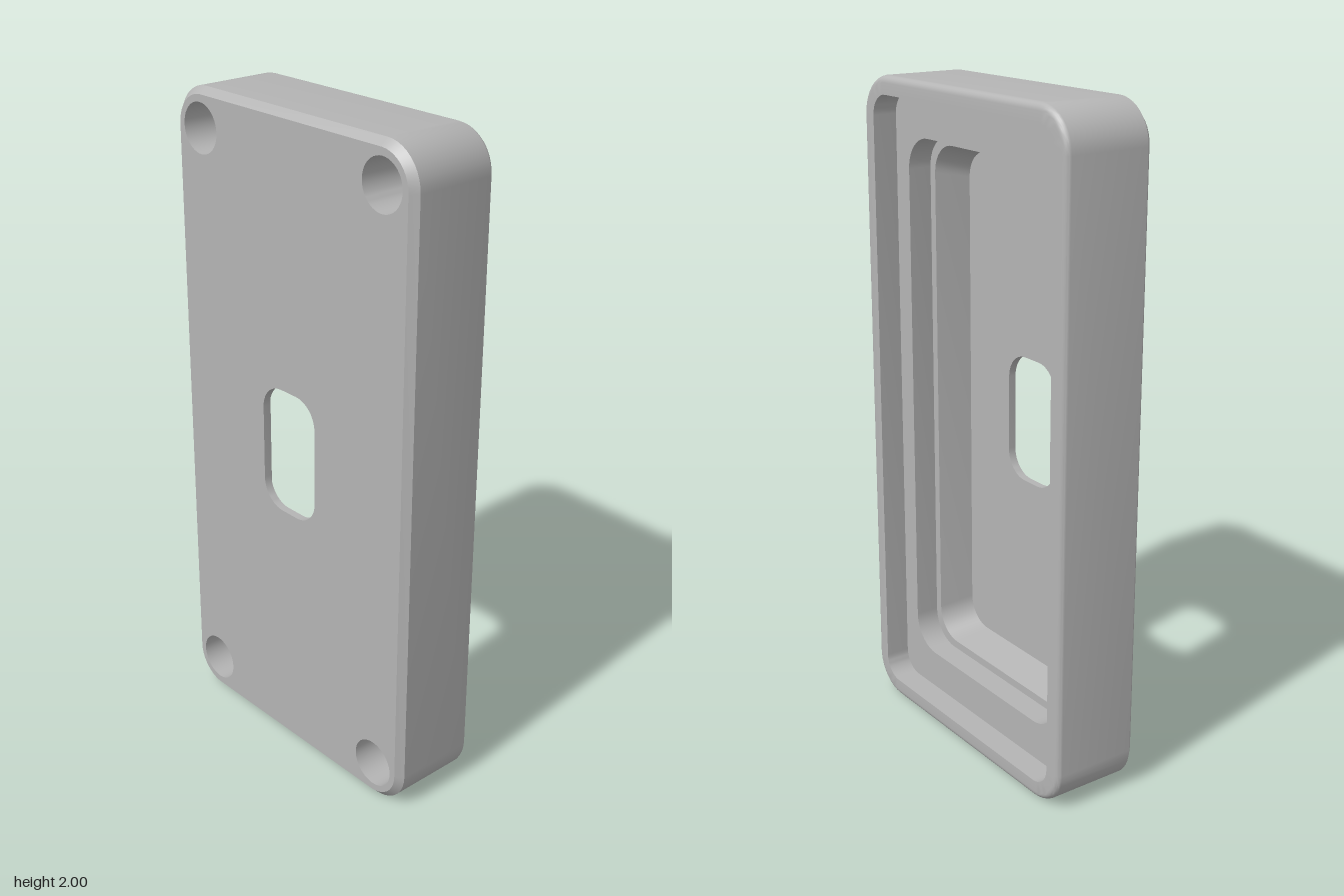
import * as THREE from 'three';
import { toCreasedNormals } from 'three/addons/utils/BufferGeometryUtils.js';

const SEG = 10; // segments per rounded corner

// Counter-clockwise points of a rounded rectangle (half width, half height, corner radius)
function roundedRect(w, h, r, cx = 0, cy = 0) {
  const pts = [];
  const corners = [[1, 1], [-1, 1], [-1, -1], [1, -1]];
  corners.forEach(([sx, sy], k) => {
    for (let i = 0; i <= SEG; i++) {
      const a = (k + i / SEG) * Math.PI / 2;
      pts.push(new THREE.Vector2(cx + sx * (w - r) + r * Math.cos(a), cy + sy * (h - r) + r * Math.sin(a)));
    }
  });
  return pts;
}

// Skin through rings of { pts, z }; faces outward when running toward -z
function loft(rings) {
  const n = rings[0].pts.length;
  const pos = [], idx = [];
  rings.forEach(({ pts, z }) => pts.forEach(p => pos.push(p.x, p.y, z)));
  for (let i = 0; i < rings.length - 1; i++) {
    for (let j = 0; j < n; j++) {
      const a = i * n + j, b = i * n + (j + 1) % n;
      idx.push(a, a + n, b, a + n, b + n, b);
    }
  }
  const g = new THREE.BufferGeometry();
  g.setAttribute('position', new THREE.Float32BufferAttribute(pos, 3));
  g.setIndex(idx);
  return toCreasedNormals(g, 0.5);
}

// Flat plate face with holes, facing +z
function face(outline, holes = []) {
  const shape = new THREE.Shape(outline);
  holes.forEach(h => shape.holes.push(new THREE.Path(h)));
  return new THREE.ShapeGeometry(shape);
}

export function createModel() {
  const group = new THREE.Group();
  const grey = new THREE.MeshStandardMaterial({ color: 0xb4b4b4 });
  grey.name = 'grey';
  const add = (name, geometry, z = 0) => {
    const mesh = new THREE.Mesh(geometry, grey);
    mesh.name = name;
    mesh.position.set(0, 1, z);
    group.add(mesh);
    return mesh;
  };

  const W = 0.487, H = 1, R = 0.12, Z = 0.142, edge = 0.021;
  const floorZ = 0.118, pocketZ = -0.045, pocketR = 0.074;
  const ring = (w, h, r, z) => ({ pts: roundedRect(w, h, r), z });
  const inset = (d, z) => ring(W - d, H - d, R - d, z);

  // Outer shell: front chamfer, side wall, rounded back edge
  const rings = [inset(edge, Z), inset(0, Z - edge)];
  for (let i = 0; i <= 6; i++) {
    const a = i / 6 * Math.PI / 2;
    rings.push(inset(edge * (1 - Math.cos(a)), -Z + edge * (1 - Math.sin(a))));
  }
  // Rim, shelf, opening, inner step and slightly tapered cavity down to the floor
  rings.push(
    inset(0.055, -Z),
    inset(0.055, -0.065),
    ring(0.365, 0.825, 0.1, -0.065),
    ring(0.365, 0.825, 0.1, 0.01),
    ring(0.34, 0.8, 0.09, 0.01),
    ring(0.317, 0.775, 0.085, floorZ)
  );
  add('shell', loft(rings));

  // Front plate with window and corner pockets
  const windowPts = roundedRect(0.113, 0.195, 0.08);
  const pockets = [];
  for (const sx of [-1, 1]) for (const sy of [-1, 1]) {
    pockets.push(roundedRect(pocketR, pocketR, pocketR, sx * 0.372, sy * 0.883));
  }
  add('frontFace', face(rings[0].pts, [windowPts, ...pockets]), Z);
  add('windowWall', loft([{ pts: windowPts, z: floorZ }, { pts: windowPts, z: Z }]));
  add('cavityFloor', face(rings[rings.length - 1].pts, [windowPts]), floorZ).rotation.y = Math.PI;

  // Blind round pockets in the corners
  pockets.forEach(pts => {
    add('pocketWall', loft([{ pts, z: pocketZ }, { pts, z: Z }]));
    add('pocketFloor', face(pts), pocketZ);
  });
  return group;
}
